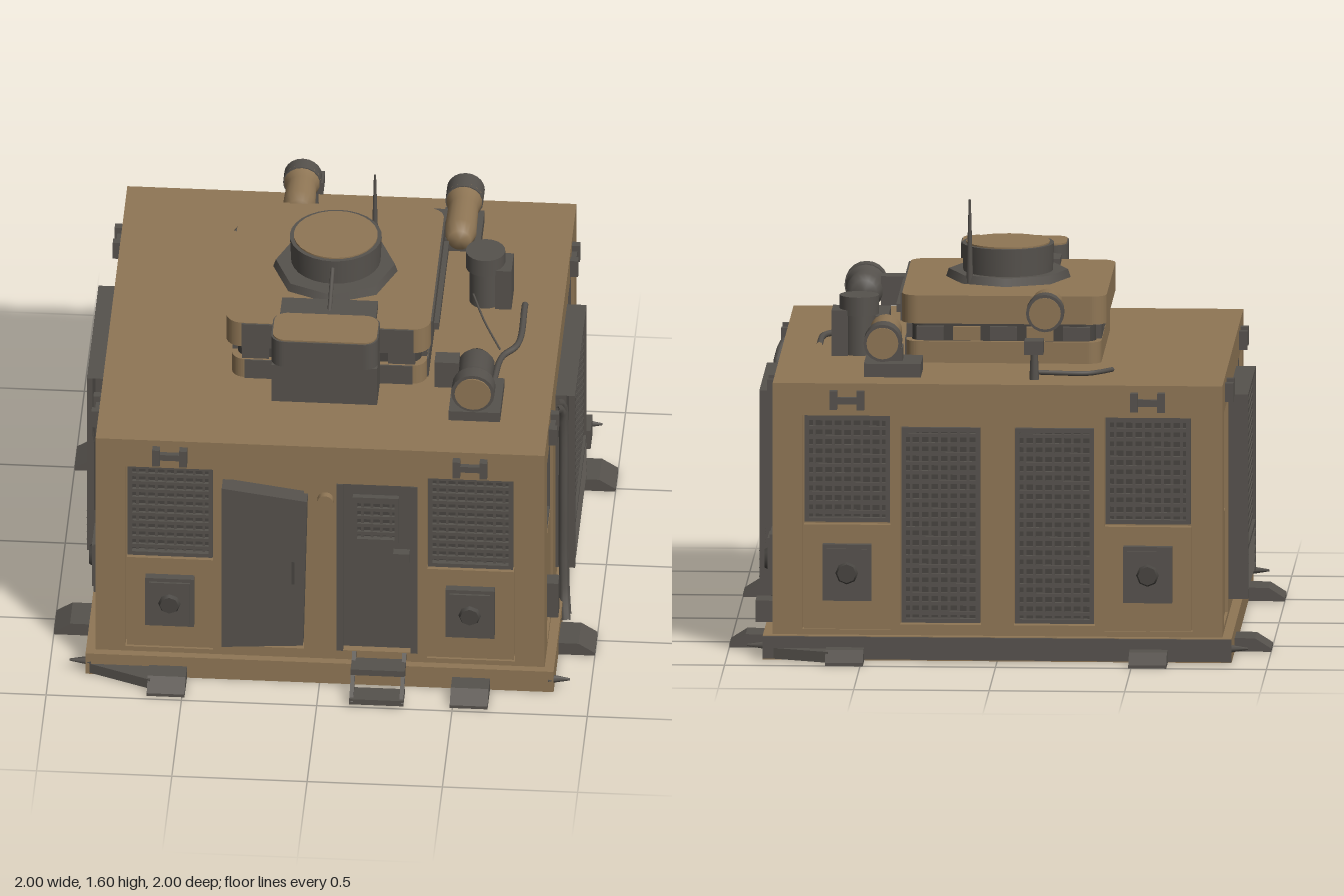
import * as THREE from 'three';
import { mergeGeometries } from 'three/addons/utils/BufferGeometryUtils.js';

const material = (name, color) => {
  const m = new THREE.MeshStandardMaterial({ color });
  m.name = name;
  return m;
};

export function createModel() {
  const tan = material('sand paint', 0x8f7655);
  const gray = material('dark gray metal', 0x56524d);
  const dark = material('charcoal mesh', 0x474440);
  const model = new THREE.Group();
  model.name = 'armouredCabin';

  const add = (parent, name, geometry, mat) => {
    const mesh = new THREE.Mesh(geometry, mat);
    mesh.name = name;
    parent.add(mesh);
    return mesh;
  };
  // Box geometry given by its ranges
  const boxGeo = (x0, x1, y0, y1, z0, z1) =>
    new THREE.BoxGeometry(x1 - x0, y1 - y0, z1 - z0).translate((x0 + x1) / 2, (y0 + y1) / 2, (z0 + z1) / 2);
  const box = (parent, name, mat, ...r) => add(parent, name, boxGeo(...r), mat);
  const cyl = (parent, name, mat, r0, r1, h, x, y, z, axis = 'y', n = 20) => {
    const g = new THREE.CylinderGeometry(r0, r1, h, n);
    if (axis === 'z') g.rotateX(Math.PI / 2);
    return add(parent, name, g.translate(x, y, z), mat);
  };
  const tube = (parent, name, mat, radius, points) => {
    const path = new THREE.CatmullRomCurve3(points.map(p => new THREE.Vector3(...p)));
    return add(parent, name, new THREE.TubeGeometry(path, 24, radius, 8), mat);
  };
  // Horizontal slab with rounded corners
  const roundSlab = (parent, name, mat, x0, x1, z0, z1, y0, y1, r) => {
    const s = new THREE.Shape();
    s.absarc(x1 - r, -z0 - r, r, 0, Math.PI / 2);
    s.absarc(x0 + r, -z0 - r, r, Math.PI / 2, Math.PI);
    s.absarc(x0 + r, -z1 + r, r, Math.PI, Math.PI * 1.5);
    s.absarc(x1 - r, -z1 + r, r, Math.PI * 1.5, Math.PI * 2);
    const g = new THREE.ExtrudeGeometry(s, { depth: y1 - y0, bevelEnabled: false, curveSegments: 6 });
    return add(parent, name, g.rotateX(-Math.PI / 2).translate(0, y0, 0), mat);
  };
  // Backing plate with a grid of bars and a rim
  const grille = (parent, name, x0, x1, y0, y1, z, step = 0.035) => {
    box(parent, name + 'Back', dark, x0, x1, y0, y1, z - 0.01, z);
    const bars = [];
    for (let x = x0 + step; x < x1 - 0.01; x += step) bars.push(boxGeo(x - 0.005, x + 0.005, y0, y1, z, z + 0.008));
    for (let y = y0 + step; y < y1 - 0.01; y += step) bars.push(boxGeo(x0, x1, y - 0.007, y + 0.007, z, z + 0.012));
    const t = 0.016, d = z + 0.022;
    bars.push(boxGeo(x0, x0 + t, y0, y1, z, d), boxGeo(x1 - t, x1, y0, y1, z, d),
      boxGeo(x0, x1, y0, y0 + t, z, d), boxGeo(x0, x1, y1 - t, y1, z, d));
    add(parent, name + 'Bars', mergeGeometries(bars), gray);
  };

  // Base, core and roof
  box(model, 'base', tan, -0.865, 0.865, 0, 0.09, -0.87, 0.85);
  box(model, 'rearSill', gray, -0.865, 0.865, 0.005, 0.088, -0.88, -0.87);
  box(model, 'core', tan, -0.785, 0.785, 0.09, 1, -0.795, 0.775);
  box(model, 'roof', tan, -0.83, 0.83, 1, 1.03, -0.84, 0.82);

  // A wall in local coordinates: x along it, y up, +z outward
  const wall = (name, angle, holes) => {
    const g = new THREE.Group();
    g.name = name;
    g.rotation.y = angle;
    g.position.z = -0.01;
    model.add(g);
    const s = new THREE.Shape();
    s.moveTo(-0.83, 0.09).lineTo(0.83, 0.09).lineTo(0.83, 1).lineTo(-0.83, 1);
    for (const [a, b, c, d] of holes) {
      const h = new THREE.Path();
      h.moveTo(a, c).lineTo(a, d).lineTo(b, d).lineTo(b, c);
      s.holes.push(h);
    }
    const geo = new THREE.ExtrudeGeometry(s, { depth: 0.045, bevelEnabled: false });
    add(g, 'wallFrame', geo.translate(0, 0, 0.785), tan);
    return g;
  };
  const bay = [[-0.72, -0.395, 0.11, 0.91], [0.395, 0.72, 0.11, 0.91]];
  const doors = [[-0.36, -0.06, 0.13, 0.87], [0.06, 0.36, 0.13, 0.87]];

  // Window above, panel with a square hatch below, and a lashing bracket on top
  const bayParts = (g, side, windowed = true, hatch = true) => {
    const c = side * 0.555;
    if (windowed) grille(g, 'window', c - 0.157, c + 0.157, 0.51, 0.91, 0.797);
    else box(g, 'upperPanel', tan, c - 0.16, c + 0.16, 0.5, 0.91, 0.785, 0.815);
    box(g, 'lowerPanel', tan, c - 0.16, c + 0.16, 0.11, 0.5, 0.785, 0.82);
    if (hatch) {
      box(g, 'hatch', gray, c - 0.09, c + 0.09, 0.22, 0.43, 0.82, 0.85);
      box(g, 'hatchLid', gray, c - 0.075, c + 0.075, 0.235, 0.415, 0.85, 0.858);
      cyl(g, 'hatchKnob', dark, 0.035, 0.045, 0.02, c, 0.325, 0.862, 'z', 8);
    }
    box(g, 'bracketBar', gray, c - 0.06, c + 0.06, 0.955, 0.98, 0.83, 0.85);
    for (const e of [-1, 1]) box(g, 'bracketEnd', gray, c + e * 0.05 - 0.014, c + e * 0.05 + 0.014, 0.935, 1.005, 0.83, 0.86);
  };
  // Sloped foot and flat triangular brace
  const foot = (g, x, reach) => {
    const s = new THREE.Shape();
    s.moveTo(0.84, 0).lineTo(reach, 0).lineTo(reach, 0.012).lineTo(reach - 0.06, 0.05).lineTo(0.84, 0.05);
    const geo = new THREE.ExtrudeGeometry(s, { depth: 0.14, bevelEnabled: false });
    add(g, 'foot', geo.rotateY(-Math.PI / 2).translate(x + 0.07, 0, 0), gray);
  };
  const brace = g => {
    const s = new THREE.Shape();
    s.moveTo(-0.85, -0.86).lineTo(-0.62, -0.95).lineTo(-0.62, -0.86);
    const geo = new THREE.ExtrudeGeometry(s, { depth: 0.04, bevelEnabled: false });
    add(g, 'footBrace', geo.rotateX(-Math.PI / 2).translate(0, 0.005, 0), gray);
  };

  // Front wall with its two doors and the steps
  const front = wall('frontWall', 0, [...bay, ...doors]);
  for (const s of [-1, 1]) { bayParts(front, s); foot(front, s * 0.56, 0.99); }
  brace(front);
  const leaf = new THREE.Shape();
  leaf.moveTo(-0.36, 0.16).lineTo(-0.06, 0.18).lineTo(-0.045, 0.82).lineTo(-0.36, 0.865);
  add(front, 'shutDoor', new THREE.ExtrudeGeometry(leaf, { depth: 0.07, bevelEnabled: false }).translate(0, 0, 0.815), gray);
  box(front, 'doorHandle', dark, -0.1, -0.09, 0.46, 0.56, 0.885, 0.9);
  box(front, 'recessedDoor', gray, 0.06, 0.36, 0.13, 0.87, 0.785, 0.8);
  for (const x of [0.06, 0.335]) box(front, 'doorJamb', gray, x, x + 0.025, 0.13, 0.87, 0.8, 0.835);
  grille(front, 'doorWindow', 0.12, 0.29, 0.61, 0.81, 0.805);
  box(front, 'doorLatch', gray, 0.27, 0.33, 0.52, 0.57, 0.8, 0.835);
  cyl(front, 'lamp', tan, 0.03, 0.03, 0.03, 0.02, 0.8, 0.842, 'z', 14);
  for (const x of [0.12, 0.305]) {
    const rail = box(front, 'stepRail', gray, x, x + 0.015, -0.01, 0.01, -0.1, 0.1);
    rail.position.set(0, 0.075, 0.925);
    rail.rotation.x = 0.62;
  }
  box(front, 'upperStep', gray, 0.12, 0.32, 0.095, 0.12, 0.86, 0.94);
  box(front, 'lowerStep', gray, 0.12, 0.32, 0.012, 0.035, 0.93, 1.01);

  // Back wall with two tall vents
  const back = wall('backWall', Math.PI, [...bay, ...doors]);
  for (const s of [-1, 1]) {
    bayParts(back, s);
    foot(back, s * 0.56, 0.99);
    grille(back, 'tallVent', s * 0.21 - 0.145, s * 0.21 + 0.145, 0.135, 0.865, 0.797);
  }
  brace(back);

  // Side walls with large protruding radiators
  const radiator = (g, x0, x1) => {
    box(g, 'radiatorBox', gray, x0, x1, 0.15, 0.915, 0.83, 0.88);
    grille(g, 'radiatorMesh', x0, x1, 0.33, 0.915, 0.88, 0.03);
    for (let i = 0; i < 5; i++) {
      const slat = box(g, 'slat', gray, x0 + 0.02, x1 - 0.02, -0.011, 0.011, -0.012, 0.012);
      slat.position.set(0, 0.18 + i * 0.032, 0.888);
      slat.rotation.x = 0.5;
    }
    for (const x of [x0, x1 - 0.016]) box(g, 'radiatorRim', gray, x, x + 0.016, 0.15, 0.33, 0.88, 0.902);
  };
  const leftSide = wall('leftWall', Math.PI / 2, bay);
  bayParts(leftSide, -1, true, false);
  bayParts(leftSide, 1);
  radiator(leftSide, -0.26, 0.34);
  for (const d of [0, 0.04])
    tube(leftSide, 'cablePipe', gray, 0.018, [[-0.43 + d, 0.97, 0.84], [-0.38 + d, 0.93, 0.86], [-0.355 + d, 0.84, 0.865],
      [-0.345 + d, 0.5, 0.865], [-0.345 + d, 0.25, 0.865], [-0.37 + d, 0.1, 0.87], [-0.43 + d, 0.03, 0.88]]);
  box(leftSide, 'switchBox', gray, -0.62, -0.56, 0.17, 0.32, 0.82, 0.865);
  box(leftSide, 'socketBox', gray, 0.58, 0.69, 0.11, 0.19, 0.82, 0.9);
  const rightSide = wall('rightWall', -Math.PI / 2, bay);
  bayParts(rightSide, -1, false, false);
  bayParts(rightSide, 1);
  radiator(rightSide, -0.34, 0.27);
  for (const g of [leftSide, rightSide]) {
    const k = g === leftSide ? -1 : 1;
    foot(g, k * 0.54, 1);
    foot(g, k * -0.54, 1);
  }
  // Corner lashing spikes
  for (const x of [-1, 1]) for (const z of [-1, 1]) {
    const spike = cyl(model, 'cornerSpike', gray, 0.004, 0.018, 0.08, 0, 0, 0, 'y', 6);
    spike.position.set(x * 0.885, 0.05, z * 0.84 - 0.005);
    spike.rotation.z = -x * Math.PI / 2;
  }

  // Roof turret: foot ring, vision band and cap
  const turret = new THREE.Group();
  turret.name = 'turret';
  model.add(turret);
  roundSlab(turret, 'turretBase', tan, -0.36, 0.36, -0.38, 0.38, 1.03, 1.11, 0.05);
  roundSlab(turret, 'visionBand', dark, -0.34, 0.34, -0.36, 0.36, 1.11, 1.18, 0.05);
  roundSlab(turret, 'turretCap', tan, -0.38, 0.375, -0.4, 0.4, 1.18, 1.285, 0.06);
  box(turret, 'baseFrontPlate', gray, -0.31, 0.31, 1.03, 1.11, 0.38, 0.386);
  box(turret, 'baseSidePlate', gray, 0.36, 0.366, 1.03, 1.11, -0.33, 0.33);
  box(turret, 'capFrontPlate', gray, -0.32, 0.315, 1.18, 1.283, 0.4, 0.407);
  box(turret, 'capSidePlate', gray, 0.375, 0.382, 1.18, 1.283, -0.34, 0.34);
  for (let i = -2; i <= 2; i++) for (const s of [-1, 1]) {
    const c = i * 0.135;
    box(turret, 'periscope', i % 2 ? tan : gray, c - 0.05, c + 0.05, 1.115, 1.165, s * 0.365 - 0.015, s * 0.365 + 0.015);
    box(turret, 'periscope', gray, s * 0.345 - 0.015, s * 0.345 + 0.015, 1.115, 1.165, c - 0.05, c + 0.05);
  }
  box(turret, 'sideRail', gray, 0.38, 0.4, 1.2, 1.23, -0.27, 0.27);
  // Cupola
  cyl(turret, 'cupolaPlate', gray, 0.22, 0.23, 0.03, 0, 1.3, 0.02, 'y', 8);
  cyl(turret, 'cupola', gray, 0.17, 0.165, 0.115, 0, 1.36, 0, 'y', 28);
  cyl(turret, 'cupolaLid', tan, 0.155, 0.155, 0.006, 0, 1.42, 0, 'y', 28);
  tube(turret, 'sightRod', gray, 0.008, [[0, 1.3, 0.34], [0, 1.34, 0.25], [0, 1.385, 0.16]]);
  cyl(turret, 'antenna', gray, 0.004, 0.013, 0.32, 0.135, 1.44, -0.14, 'y', 8);
  // Front sight housing
  box(turret, 'sightMount', gray, -0.18, 0.175, 1.28, 1.31, 0.26, 0.38);
  box(turret, 'sightPedestal', gray, -0.2, 0.19, 1.03, 1.19, 0.38, 0.53);
  roundSlab(turret, 'sightHousing', gray, -0.2, 0.195, 0.4, 0.59, 1.225, 1.335, 0.05);
  roundSlab(turret, 'sightRoof', tan, -0.195, 0.19, 0.405, 0.585, 1.335, 1.341, 0.05);
  box(turret, 'sightNeck', gray, -0.12, 0.12, 1.18, 1.23, 0.38, 0.5);

  // Searchlights: tan body, gray hood, facing along z
  const lightBody = (name, x, y, z, dir, len, r) => {
    const g = new THREE.Group();
    g.name = name;
    g.position.set(x, y, z);
    if (dir < 0) g.rotation.y = Math.PI;
    model.add(g);
    const profile = [[0, -len / 2], [r * 0.6, -len / 2], [r * 0.85, -len * 0.35], [r * 0.8, len * 0.1], [r, len * 0.3]];
    add(g, 'lampBody', new THREE.LatheGeometry(profile.map(p => new THREE.Vector2(...p)), 18).rotateX(Math.PI / 2), dir < 0 ? tan : gray);
    cyl(g, 'lampHood', gray, r, r, len * 0.25, 0, 0, len * 0.375, 'z');
    cyl(g, 'lampLens', tan, r * 0.84, r * 0.84, 0.006, 0, 0, len / 2 + 0.003, 'z');
  };
  box(model, 'frontLightBase', gray, 0.46, 0.65, 1.03, 1.07, 0.38, 0.61);
  box(model, 'frontLightStand', gray, 0.51, 0.6, 1.07, 1.12, 0.44, 0.56);
  lightBody('frontSearchlight', 0.55, 1.155, 0.5, 1, 0.23, 0.08);
  box(model, 'frontLightArm', gray, 0.4, 0.49, 1.1, 1.21, 0.43, 0.5);
  box(model, 'rearLightBase', gray, 0.29, 0.5, 1.03, 1.08, -0.7, -0.5);
  box(model, 'rearLightStand', gray, 0.36, 0.45, 1.08, 1.13, -0.64, -0.55);
  lightBody('rearSearchlight', 0.43, 1.16, -0.55, -1, 0.34, 0.07);
  lightBody('turretSearchlight', -0.165, 1.26, -0.51, -1, 0.23, 0.07);

  // Vent stack, posts and bent rods on the roof
  cyl(model, 'ventStack', gray, 0.06, 0.06, 0.16, 0.54, 1.11, -0.19);
  cyl(model, 'ventCap', gray, 0.073, 0.073, 0.07, 0.54, 1.215, -0.19);
  box(model, 'ventBox', gray, 0.58, 0.64, 1.03, 1.2, -0.25, -0.13);
  cyl(model, 'rearPost', gray, 0.012, 0.018, 0.13, -0.13, 1.095, -0.72, 'y', 8);
  box(model, 'rearPostHead', gray, -0.165, -0.095, 1.13, 1.18, -0.77, -0.69);
  tube(model, 'rearRod', gray, 0.009, [[-0.13, 1.05, -0.68], [-0.32, 1.045, -0.67], [-0.37, 1.045, -0.63], [-0.41, 1.04, -0.55]]);
  tube(model, 'sideRod', gray, 0.012, [[0.69, 1.05, -0.14], [0.68, 1.045, 0.12], [0.63, 1.045, 0.2], [0.61, 1.06, 0.4]]);
  tube(model, 'stayWire', gray, 0.004, [[0.5, 1.1, -0.12], [0.55, 1.07, 0.01], [0.62, 1.045, 0.16]]);
  return model;
}
